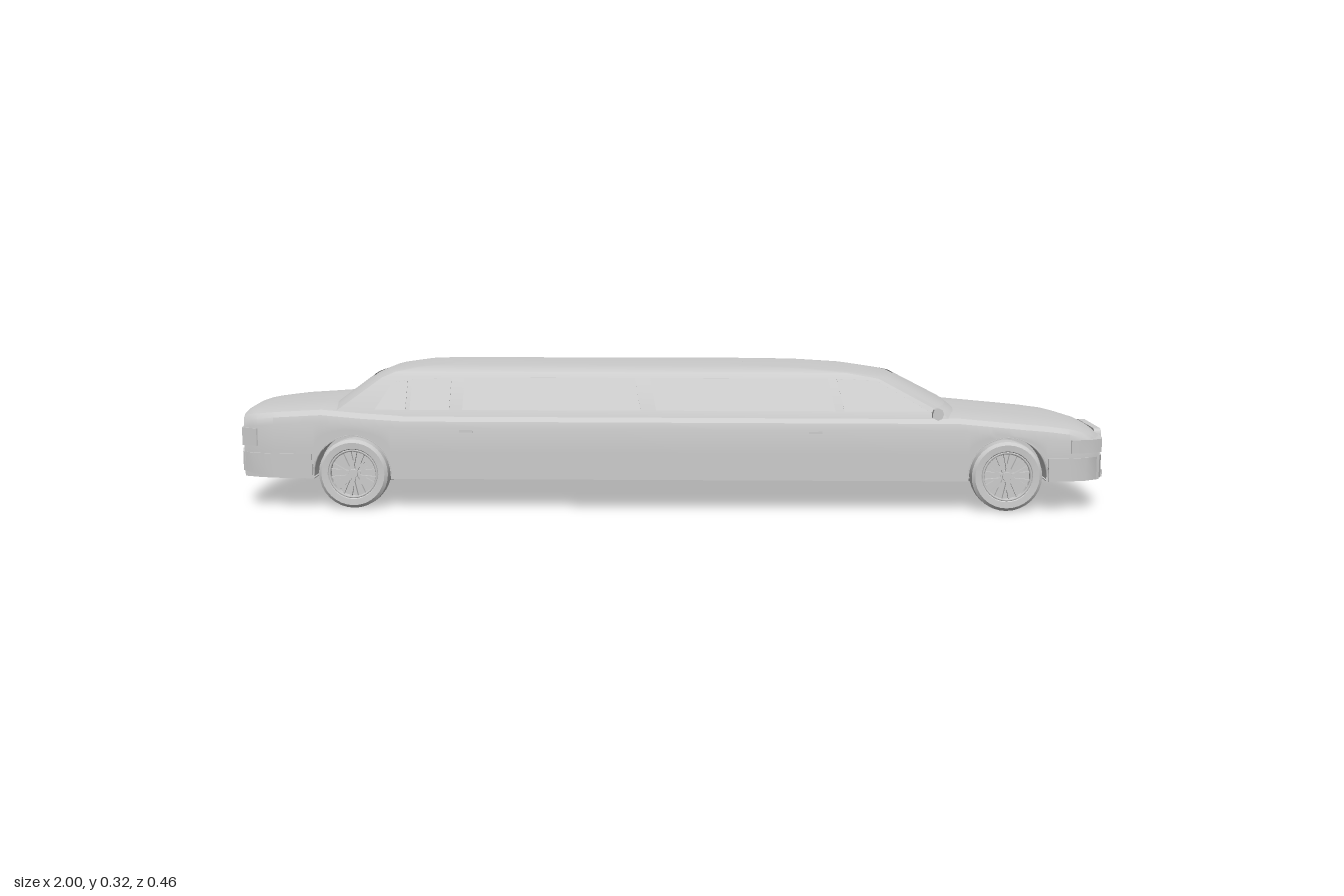
import * as THREE from 'three';
import { toCreasedNormals } from 'three/addons/utils/BufferGeometryUtils.js';

const grey = new THREE.MeshStandardMaterial({ color: 0xcccccc, side: THREE.DoubleSide });
const WHEELS = [-0.72, 0.762], HUB_Y = 0.08, ARCH = 0.087, SILL = 0.07, WELL_Z = 0.145;

function add(parent, name, geo, x = 0, y = 0, z = 0) {
  const m = new THREE.Mesh(geo, grey);
  m.name = name;
  m.position.set(x, y, z);
  parent.add(m);
  return m;
}
const box = (w, h, d) => new THREE.BoxGeometry(w, h, d);

// Piecewise-linear lookup in a list of [x, value]
function at(table, x) {
  if (x <= table[0][0]) return table[0][1];
  for (let i = 1; i < table.length; i++) {
    const [a, va] = table[i - 1], [b, vb] = table[i];
    if (x <= b) return va + (vb - va) * (x - a) / (b - a);
  }
  return table[table.length - 1][1];
}

// Surface through rows x cols points given by fn(i, j)
function grid(rows, cols, fn, crease = 0.5) {
  const pos = [], idx = [];
  for (let i = 0; i < rows; i++) for (let j = 0; j < cols; j++) pos.push(...fn(i, j));
  for (let i = 0; i < rows - 1; i++) for (let j = 0; j < cols - 1; j++) {
    const a = i * cols + j, b = a + 1, c = a + cols, d = c + 1;
    idx.push(a, c, b, b, c, d);
  }
  const g = new THREE.BufferGeometry();
  g.setAttribute('position', new THREE.Float32BufferAttribute(pos, 3));
  g.setIndex(idx);
  return toCreasedNormals(g, crease);
}

// Plan outline of [x, z] points extruded between two heights
function slab(points, y0, y1) {
  const g = new THREE.ExtrudeGeometry(new THREE.Shape(points.map(p => new THREE.Vector2(...p))), { depth: y1 - y0, bevelEnabled: false });
  return toCreasedNormals(g.rotateX(Math.PI / 2).translate(0, y1, 0), 0.6);
}
const mirrored = pts => [...pts, ...pts.slice().reverse().map(([x, z]) => [x, -z])];

// Body half-width and centreline height along the car
const WIDTH = [[-0.975, 0.172], [-0.94, 0.187], [-0.9, 0.198], [-0.78, 0.206], [0.8, 0.206], [0.9, 0.197], [0.95, 0.183], [0.975, 0.166]];
const TOP = [[-0.975, 0.213], [-0.96, 0.222], [-0.9, 0.229], [-0.79, 0.236], [-0.7, 0.228], [-0.6, 0.222], [0.65, 0.221], [0.85, 0.203], [0.91, 0.195], [0.95, 0.181], [0.975, 0.165]];
function sillY(x) {
  for (const c of WHEELS) {
    const d = Math.abs(x - c);
    if (d < ARCH + 1e-6) return HUB_Y + Math.sqrt(Math.max(0, ARCH * ARCH - d * d));
  }
  return SILL;
}
// Ends bow outward towards the centreline
function bowed(x, z) {
  const k = THREE.MathUtils.smoothstep(Math.abs(x), 0.85, 0.975), r = z / at(WIDTH, x);
  return x + Math.sign(x) * 0.018 * k * (1 - r * r);
}
// Half section from sill to centreline, as [z, y]
function section(x) {
  const w = at(WIDTH, x), t = at(TOP, x), b = sillY(x), s = t - 0.036;
  return [[w, b], [w, b + (s - b) * 0.5], [w, s], [w - 0.004, t - 0.021], [w - 0.015, t - 0.010],
    [w * 0.75, t - 0.004], [w * 0.4, t - 0.001], [0, t]];
}

function buildBody(car) {
  const xs = [-0.975, -0.96, -0.94, -0.9, -0.85, -0.6, -0.3, 0, 0.3, 0.6, 0.65, 0.87, 0.9, 0.925, 0.95, 0.965, 0.975];
  for (const c of WHEELS) {
    xs.push(c - ARCH - 0.0005, c + ARCH + 0.0005);
    for (let k = 0; k <= 20; k++) xs.push(c + ARCH * Math.cos(k * Math.PI / 20));
  }
  xs.sort((a, b) => a - b);
  add(car, 'bodyShell', grid(15, xs.length, (i, j) => {
    const x = xs[j], [z, y] = section(x)[i < 8 ? i : 14 - i];
    return [bowed(x, z), y, i < 8 ? z : -z];
  }));
  for (const [name, x] of [['noseFace', 0.975], ['tailFace', -0.975]]) {
    const half = section(x);
    add(car, name, grid(8, 13, (i, j) => {
      const z = half[i][0] * (j / 6 - 1);
      return [bowed(x, z), half[i][1], z];
    }));
  }
  // Flat floor notched at the wheels
  add(car, 'floor', slab(mirrored(xs.map(x => [x, sillY(x) > SILL ? WELL_Z : at(WIDTH, x)])), SILL, SILL + 0.002));
  for (const c of WHEELS) for (const s of [1, -1]) {
    add(car, 'wheelWell', new THREE.CylinderGeometry(ARCH, ARCH, 0.06, 20, 1, true, Math.PI / 2, Math.PI).rotateX(Math.PI / 2), c, HUB_Y, s * 0.175);
    add(car, 'wellWall', new THREE.CircleGeometry(ARCH, 20, 0, Math.PI), c, HUB_Y, s * WELL_Z);
    add(car, 'archLip', new THREE.TorusGeometry(ARCH + 0.002, 0.0025, 5, 20, Math.PI), c, HUB_Y, s * 0.204);
  }
}

// Cabin layers: height, rear x, front x, half-width
const CABIN = [[0.205, -0.81, 0.675, 0.194], [0.225, -0.785, 0.65, 0.187], [0.295, -0.69, 0.515, 0.142],
  [0.307, -0.66, 0.44, 0.132], [0.315, -0.61, 0.33, 0.116], [0.319, -0.55, 0.2, 0.09], [0.32, -0.5, 0.15, 0]];
const frontX = (xf, s) => xf - 0.04 * Math.abs(s) ** 3;
const rearX = (xr, s) => xr + 0.03 * Math.abs(s) ** 3;
const sideZ = y => at([[0.225, 0.187], [0.295, 0.142]], y);

function buildCabin(car) {
  add(car, 'cabin', grid(CABIN.length, 27, (i, j) => {
    const [y, xr, xf, w] = CABIN[i], k = j % 26;
    const s = k < 13 ? k / 6 - 1 : 1 - (k - 13) / 6;
    return [k < 13 ? rearX(xr, s) : frontX(xf, s), y, s * w];
  }));
  // Windscreen and rear window lie just proud of the cabin
  for (const [name, col, curve, dir] of [['windscreen', 2, frontX, 1], ['rearWindow', 1, rearX, -1]])
    add(car, name, grid(2, 13, (i, j) => {
      const s = (j / 6 - 1) * 0.93, v = i ? 0.95 : 0.1, a = CABIN[1], b = CABIN[2];
      const mix = n => a[n] + (b[n] - a[n]) * v;
      return [curve(mix(col), s) + dir * 0.001, mix(0) + 0.002, s * mix(3)];
    }));
  // Side windows
  const panes = [
    [[-0.67, 0.226], [-0.6, 0.226], [-0.6, 0.29], [-0.635, 0.284]],
    [[-0.59, 0.226], [-0.5, 0.226], [-0.5, 0.293], [-0.59, 0.291]],
    [[-0.47, 0.226], [-0.065, 0.226], [-0.08, 0.295], [-0.47, 0.295]],
    [[-0.03, 0.226], [0.375, 0.226], [0.36, 0.295], [-0.045, 0.295]],
    [[0.395, 0.226], [0.585, 0.226], [0.47, 0.291], [0.38, 0.294]]];
  for (const pane of panes) {
    const g = new THREE.ExtrudeGeometry(new THREE.Shape(pane.map(p => new THREE.Vector2(...p))), { depth: 0.0015, bevelEnabled: false });
    const p = g.attributes.position;
    for (let i = 0; i < p.count; i++) p.setZ(i, p.getZ(i) + sideZ(p.getY(i)));
    g.computeVertexNormals();
    for (const s of [1, -1]) add(car, 'sideWindow', g).scale.z = s;
  }
  for (const s of [1, -1]) {
    // Door handles and mirrors
    for (const x of [-0.46, 0.33]) add(car, 'doorHandle', box(0.03, 0.006, 0.004), x, 0.18, s * 0.206);
    add(car, 'mirrorArm', box(0.014, 0.012, 0.03), 0.598, 0.219, s * 0.19);
    const shell = new THREE.CylinderGeometry(0.012, 0.0165, 0.034, 8).rotateX(s * -Math.PI / 2).scale(0.75, 0.85, 1);
    add(car, 'mirrorHousing', toCreasedNormals(shell, 0.9), 0.6, 0.225, s * 0.213);
  }
}

function buildEnds(car) {
  const front = [[0.853, 0.207], [0.9, 0.201], [0.94, 0.19], [0.968, 0.171], [0.985, 0.14], [0.995, 0.085], [1, 0.03]];
  add(car, 'frontBumper', slab(mirrored(front), SILL, 0.122));
  const rear = [[-0.812, 0.207], [-0.9, 0.201], [-0.95, 0.189], [-0.98, 0.168], [-0.994, 0.12], [-1, 0.04]];
  const g = slab(mirrored(rear), SILL, 0.126), p = g.attributes.position;
  for (let i = 0; i < p.count; i++) // underside sweeps up at the tail
    if (p.getY(i) < 0.08 && p.getX(i) < -0.88) p.setY(i, SILL + 0.015 * (-p.getX(i) - 0.88) / 0.12);
  add(car, 'rearBumper', g);

  // Grille: rounded frame with horizontal bars
  const outline = (w, h, C) => {
    const s = new C();
    s.moveTo(-w * 0.9, -h).lineTo(w * 0.9, -h).quadraticCurveTo(w, -h, w, 0);
    return s.quadraticCurveTo(w, h, w * 0.85, h).lineTo(-w * 0.85, h).quadraticCurveTo(-w, h, -w, 0).quadraticCurveTo(-w, -h, -w * 0.9, -h);
  };
  const frame = outline(0.091, 0.022, THREE.Shape);
  frame.holes.push(outline(0.084, 0.017, THREE.Path));
  add(car, 'grilleFrame', new THREE.ExtrudeGeometry(frame, { depth: 0.016, bevelEnabled: false }).rotateY(Math.PI / 2), 0.98, 0.152, 0);
  for (let i = 0; i < 5; i++) add(car, 'grilleBar', box(0.012, 0.003, 0.165), 0.988, 0.139 + i * 0.0065, 0);

  // Wrap-round lamps
  const head = [[0.989, 0.098], [0.985, 0.14], [0.979, 0.168], [0.953, 0.1865], [0.905, 0.199], [0.9, 0.19], [0.965, 0.155], [0.97, 0.098]];
  const tail = [[-0.991, 0.085], [-0.985, 0.14], [-0.979, 0.174], [-0.942, 0.1895], [-0.935, 0.182], [-0.965, 0.16], [-0.97, 0.085]];
  for (const s of [1, -1]) {
    add(car, 'headlight', slab(head, 0.133, 0.163)).scale.z = s;
    add(car, 'tailLight', slab(tail, 0.142, 0.182)).scale.z = s;
  }
  add(car, 'frontPlate', box(0.004, 0.028, 0.066), 0.999 - 0.001, 0.105, 0);
  add(car, 'rearPlate', box(0.004, 0.034, 0.09), -0.995, 0.16, 0);
  for (let i = -2; i <= 2; i++) {
    const z = i * 0.054;
    add(car, 'lowerIntake', box(0.004, 0.016, Math.abs(i) === 2 ? 0.046 : 0.05), 0.998 - 1.05 * z * z, 0.078, z).rotation.y = i * 0.07;
  }
}

function buildWheel() {
  const wheel = new THREE.Group();
  wheel.name = 'wheel';
  // Profile runs from inner hub face round the tread to the outer lip
  const prof = [[0.01, -0.02], [0.055, -0.024], [0.072, -0.025], [0.079, -0.019], [0.08, 0], [0.079, 0.019], [0.072, 0.025],
    [0.058, 0.024], [0.055, 0.021], [0.053, 0.004], [0, 0.004]].map(q => new THREE.Vector2(...q));
  add(wheel, 'tyre', toCreasedNormals(new THREE.LatheGeometry(prof, 32).rotateX(Math.PI / 2), 0.6));
  add(wheel, 'rim', new THREE.TorusGeometry(0.054, 0.003, 6, 32), 0, 0, 0.021);
  add(wheel, 'hubCap', new THREE.CylinderGeometry(0.01, 0.013, 0.016, 16).rotateX(Math.PI / 2), 0, 0, 0.014);
  for (let i = 0; i < 10; i++) for (const d of [-0.1, 0.1])
    add(wheel, 'spoke', box(0.045, 0.004, 0.008).translate(0.032, d * 0.04, 0.015)).rotation.z = i * Math.PI / 5 + d;
  return wheel;
}

export function createModel() {
  const car = new THREE.Group();
  car.name = 'stretchedSaloon';
  buildBody(car);
  buildCabin(car);
  buildEnds(car);
  for (const x of WHEELS) for (const s of [1, -1]) {
    const w = buildWheel();
    w.position.set(x, HUB_Y, s * 0.178);
    if (s < 0) w.rotation.y = Math.PI;
    car.add(w);
  }
  return car;
}
